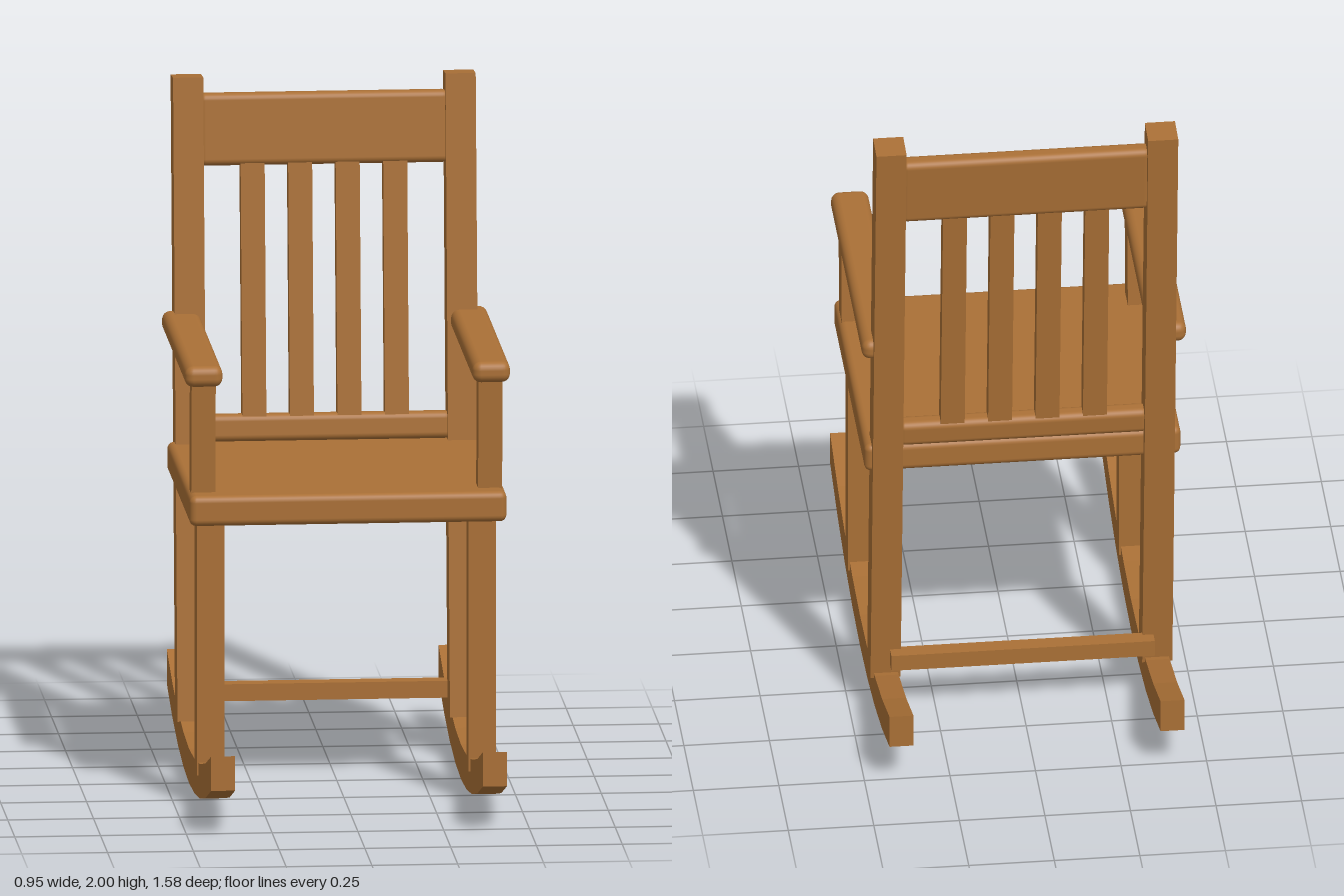
import * as THREE from 'three';
import { RoundedBoxGeometry } from 'three/addons/geometries/RoundedBoxGeometry.js';

export function createModel() {
  const chair = new THREE.Group();
  chair.name = 'rockingChair';
  const wood = new THREE.MeshStandardMaterial({ color: 0xaa7036 });
  wood.name = 'wood';

  function add(name, geometry, x, y, z, tilt = 0) {
    const mesh = new THREE.Mesh(geometry, wood);
    mesh.name = name;
    mesh.position.set(x, y, z);
    mesh.rotation.x = tilt;
    chair.add(mesh);
    return mesh;
  }
  const box = (w, h, d) => new THREE.BoxGeometry(w, h, d);
  const rounded = (w, h, d, r) => new RoundedBoxGeometry(w, h, d, 3, r);

  // Straight bar whose centre line runs between two points in the side plane
  function bar(name, x, w, d, [z0, y0], [z1, y1]) {
    const length = Math.hypot(z1 - z0, y1 - y0);
    add(name, box(w, length, d), x, (y0 + y1) / 2, (z0 + z1) / 2, Math.atan2(z1 - z0, y1 - y0));
  }

  // Leaning line of the back
  const lean = -0.085;
  const backZ = (y) => -0.33 + lean * (y - 0.12);
  const backTilt = Math.atan(lean);

  // Curved runner: a faceted arc with vertical end cuts
  const radius = 2.38, half = 0.79, steps = 8, thick = 0.102;
  const arcY = (z) => radius - Math.sqrt(radius * radius - z * z);
  const lower = [], upper = [];
  for (let i = 0; i <= steps; i++) {
    const z = -half + (2 * half * i) / steps;
    lower.push(new THREE.Vector2(z, arcY(z)));
    upper.unshift(new THREE.Vector2(z, arcY(z) + thick));
  }
  const runner = new THREE.ExtrudeGeometry(new THREE.Shape([...lower, ...upper]), { depth: 0.07, bevelEnabled: false });
  runner.translate(0, 0, -0.035);
  runner.rotateY(-Math.PI / 2);

  // Paired side parts
  for (const [side, s] of [['left', 1], ['right', -1]]) {
    add(side + 'Rocker', runner, s * 0.396, 0, 0);
    add(side + 'FrontLeg', box(0.08, 0.78, 0.076), s * 0.396, 0.48, 0.303);
    bar(side + 'BackPost', s * 0.397, 0.088, 0.09, [backZ(0.12), 0.12], [backZ(1.996), 1.996]);
    bar(side + 'ArmPost', s * 0.418, 0.07, 0.07, [0.313, 0.9], [0.335, 1.27]);
    add(side + 'Armrest', rounded(0.11, 0.062, 0.858, 0.025), s * 0.419, 1.28, -0.031);
  }

  // Seat
  add('seat', rounded(0.924, 0.09, 0.83, 0.02), 0, 0.886, 0);

  // Back rails and slats
  add('topRail', rounded(0.73, 0.212, 0.055, 0.02), 0, 1.84, backZ(1.84), backTilt);
  add('lowerRail', rounded(0.73, 0.08, 0.055, 0.02), 0, 0.97, backZ(0.97), backTilt);
  for (let i = 0; i < 4; i++) {
    bar('slat', -0.209 + i * 0.1385, 0.07, 0.045, [backZ(0.98), 0.98], [backZ(1.76), 1.76]);
  }

  // Rear stretcher
  add('rearStretcher', box(0.77, 0.05, 0.05), 0, 0.19, -0.396);

  return chair;
}
